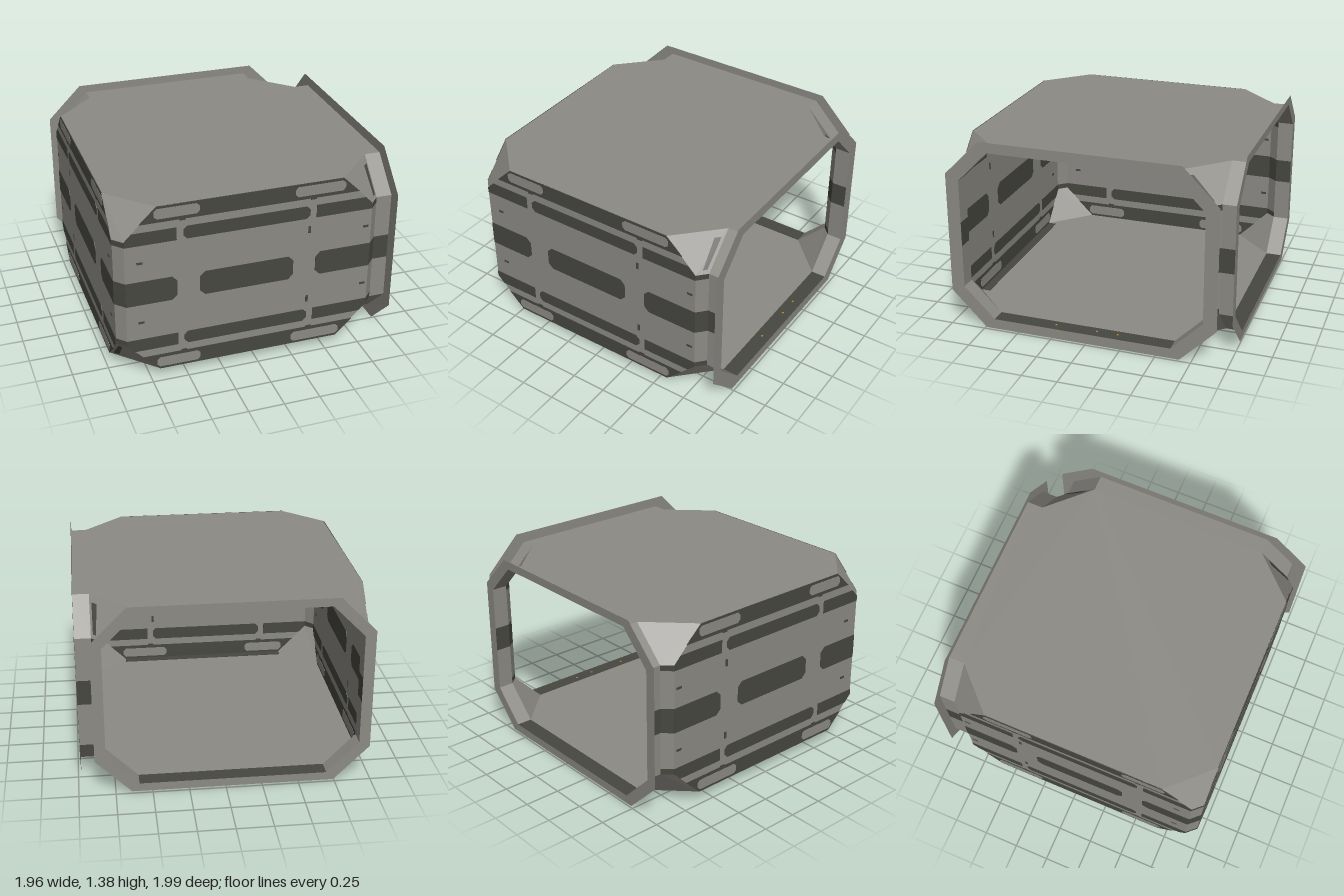
import * as THREE from 'three';

const mat = (name, color) => {
  const m = new THREE.MeshStandardMaterial({ color, side: THREE.DoubleSide });
  m.name = name;
  return m;
};

// Body centre and half sizes
const CX = -0.05, CY = 0.69, CZ = 0.037;
const HX = 0.92, HZ = 0.925, HY = 0.617;   // planes of walls, roof and floor
const A = 0.86, T = 0.64, V = 0.395;       // octagon: half width, half top edge, half side edge

export function createModel() {
  const model = new THREE.Group();
  const grey = mat('panelGrey', 0x8c8a84);
  const dark = mat('darkTrim', 0x464740);
  const orange = mat('orangeLight', 0xc8842c);

  // Mesh from flat convex polygons, each a list of [x, y, z]
  function faces(name, polys, material, parent = model) {
    const pos = [];
    for (const p of polys)
      for (let i = 1; i < p.length - 1; i++) pos.push(...p[0], ...p[i], ...p[i + 1]);
    const g = new THREE.BufferGeometry();
    g.setAttribute('position', new THREE.Float32BufferAttribute(pos, 3));
    g.computeVertexNormals();
    const mesh = new THREE.Mesh(g, material);
    mesh.name = name;
    parent.add(mesh);
    return mesh;
  }

  const octagon = (a, t, h, v) => [[a, -v], [a, v], [t, h], [-t, h], [-a, v], [-a, -v], [-t, -h], [t, -h]];
  const toPath = (pts, Type) => new Type(pts.map(p => new THREE.Vector2(...p)));

  // Thin plate lying across a wall plane so it shows on both sides
  function plate(name, pts, material, parent, depth = 0.006) {
    const g = new THREE.ExtrudeGeometry(toPath(pts, THREE.Shape), { depth, bevelEnabled: false });
    g.translate(0, 0, -depth / 2);
    const mesh = new THREE.Mesh(g, material);
    mesh.name = name;
    parent.add(mesh);
  }

  // Rectangle with cut corners; cutL / cutR are the cuts at each end
  const bar = (x0, x1, y0, y1, cutL, cutR) => [
    [x0 + cutL, y0], [x1 - cutR, y0], [x1, y0 + cutR], [x1, y1 - cutR],
    [x1 - cutR, y1], [x0 + cutL, y1], [x0, y1 - cutL], [x0, y0 + cutL],
  ].filter((p, i, a) => {
    const q = a[(i + 1) % a.length];
    return p[0] !== q[0] || p[1] !== q[1];
  });

  // Closed wall with its bands; s = -1 mirrors the pattern sideways
  function wall(name, s) {
    const group = new THREE.Group();
    group.name = name;
    model.add(group);
    faces('wallPanel', [octagon(A, T, HY, V).map(([x, y]) => [x, y, 0])], grey, group);
    const strip = (label, x0, x1, y0, y1, cl, cr, m, d) => plate(label,
      s > 0 ? bar(x0, x1, y0, y1, cl, cr) : bar(-x1, -x0, y0, y1, cr, cl), m, group, d);

    strip('middleBand', -A, -0.51, -0.088, 0.088, 0, 0.035, dark);
    strip('middleBand', -0.355, 0.3, -0.088, 0.088, 0.035, 0.035, dark);
    strip('middleBand', 0.46, A, -0.088, 0.088, 0.035, 0, dark);

    for (const k of [-1, 1]) {
      const row = (label, x0, x1, y0, y1, cl, cr, m, d) =>
        strip(label, x0, x1, Math.min(k * y0, k * y1), Math.max(k * y0, k * y1), cl, cr, m, d);
      // narrow bands; the end pieces follow the slanted wall corners
      row('narrowBand', -0.465, 0.41, 0.355, 0.447, 0.025, 0.025, dark);
      for (const e of [-1, 1]) {
        const inner = e < 0 ? 0.51 : 0.455;
        const pts = [[inner, 0.355], [A, 0.355], [A, V], [A - 0.052, 0.447], [inner, 0.447]];
        plate('narrowBandEnd', pts.map(([x, y]) => [x * e * s, y * k]), dark, group);
      }
      // broad edge band with two lighter panels
      plate('edgeBand', [[0.757, 0.503], [T, HY], [-T, HY], [-0.757, 0.503]]
        .map(([x, y]) => [x, y * k]), dark, group);
      row('lightPanel', -0.66, -0.355, 0.527, 0.6, 0.02, 0.02, grey, 0.009);
      row('lightPanel', 0.3, 0.655, 0.527, 0.6, 0.02, 0.02, grey, 0.009);
      // small vents
      for (const x of [-0.76, 0.84])
        row('slot', Math.min(x, 0.82) - 0.02, Math.min(x, 0.82) + 0.02, 0.217, 0.233, 0, 0, dark);
      row('slot', 0.4, 0.418, 0.245, 0.295, 0, 0, dark);
      for (const x of [-0.47, 0.43]) row('slot', x - 0.02, x + 0.02, 0.493, 0.503, 0, 0, dark);
    }
    return group;
  }
  wall('frontWall', 1).position.set(CX, CY, CZ + HZ);
  const side = wall('sideWall', -1);
  side.position.set(CX - HX, CY, CZ);
  side.rotation.y = -Math.PI / 2;

  // Body shell in centred coordinates
  const body = new THREE.Group();
  body.name = 'body';
  body.position.set(CX, CY, CZ);
  model.add(body);
  const deck = y => [[HX, y, -T], [HX, y, T], [T, y, HZ], [-T, y, HZ], [-HX, y, T], [-HX, y, -T], [-T, y, -HZ], [T, y, -HZ]];
  faces('roof', [deck(HY)], grey, body);
  faces('floor', [deck(-HY)], grey, body);

  // Corner posts with bands, and the slanted gussets above and below
  const levels = [-V, -0.355, -0.088, 0.088, 0.355, V];
  for (const sx of [-1, 1]) for (const sz of [-1, 1]) {
    for (let i = 0; i < 5; i++) {
      const [a, b] = [levels[i], levels[i + 1]];
      faces('cornerPost', [[[sx * HX, a, sz * A], [sx * A, a, sz * HZ], [sx * A, b, sz * HZ], [sx * HX, b, sz * A]]],
        i % 2 ? grey : dark, body);
    }
    for (const k of [-1, 1])
      faces('cornerGusset', [[[sx * HX, k * HY, sz * T], [sx * T, k * HY, sz * HZ],
        [sx * A, k * V, sz * HZ], [sx * HX, k * V, sz * A]]], grey, body);
  }

  // Dark strips beside the gusset edges
  for (const [sx, sz, k] of [[1, 1, 1], [1, -1, 1], [-1, 1, -1]]) {
    const at = (u, w) => { // u along the edge, w across the gusset
      const p = new THREE.Vector3(HX, HY + (V - HY) * u, T + (A - T) * u);
      const q = new THREE.Vector3(T + (A - T) * u, HY + (V - HY) * u, HZ);
      p.lerp(q, w / p.distanceTo(q)).addScalar(0.003);
      return [p.x * sx, p.y * k, p.z * sz];
    };
    faces('gussetStrip', [[at(0.18, 0.025), at(0.9, 0.025), at(0.9, 0.055), at(0.18, 0.07)]], dark, body);
  }

  // Open collars; place(w, y, d) maps the section to the body, d runs outward
  function collar(name, place, d0, d1, ring) {
    const group = new THREE.Group();
    group.name = name;
    body.add(group);
    const quad = (label, p, q, m) => faces(label,
      [[place(...p, d0), place(...q, d0), place(...q, d1), place(...p, d1)]], m, group);
    const pts = octagon(A, T, HY, V);
    pts.forEach((p, i) => {
      const q = pts[(i + 1) % 8];
      if (p[0] === q[0]) {
        const ys = [-V, -0.088, 0.088, V];
        for (let j = 0; j < 3; j++) quad('collarSide', [p[0], ys[j]], [p[0], ys[j + 1]], j === 1 ? dark : grey);
      } else quad('collarPanel', p, q, p[1] === -HY && q[1] === -HY ? dark : grey);
    });
    // flat flange around the opening
    const shape = toPath(octagon(...ring), THREE.Shape);
    shape.holes.push(toPath(pts, THREE.Path));
    const g = new THREE.ShapeGeometry(shape);
    const pos = g.attributes.position;
    for (let i = 0; i < pos.count; i++) pos.setXYZ(i, ...place(pos.getX(i), pos.getY(i), d1));
    g.computeVertexNormals();
    const flange = new THREE.Mesh(g, grey);
    flange.name = 'flange';
    group.add(flange);
  }
  collar('sideOpening', (w, y, d) => [d, y, -w], HX, 1.03, [0.955, 0.703, 0.69, 0.436]);
  collar('backOpening', (w, y, d) => [-w, y, -d], HZ, 1.037, [0.935, 0.69, 0.675, 0.43]);

  // Dark strip on the floor beside the front wall
  const skirt = new THREE.Mesh(new THREE.BoxGeometry(2 * T, 0.006, 0.06), dark);
  skirt.name = 'floorStrip';
  skirt.position.set(0, -HY, HZ - 0.035);
  body.add(skirt);

  // Tiny guide lights on the side opening's sill
  for (const z of [-0.25, -0.1, 0.2]) {
    const lamp = new THREE.Mesh(new THREE.BoxGeometry(0.012, 0.009, 0.012), orange);
    lamp.name = 'guideLight';
    lamp.position.set(HX + 0.05, -HY, z);
    body.add(lamp);
  }
  return model;
}
